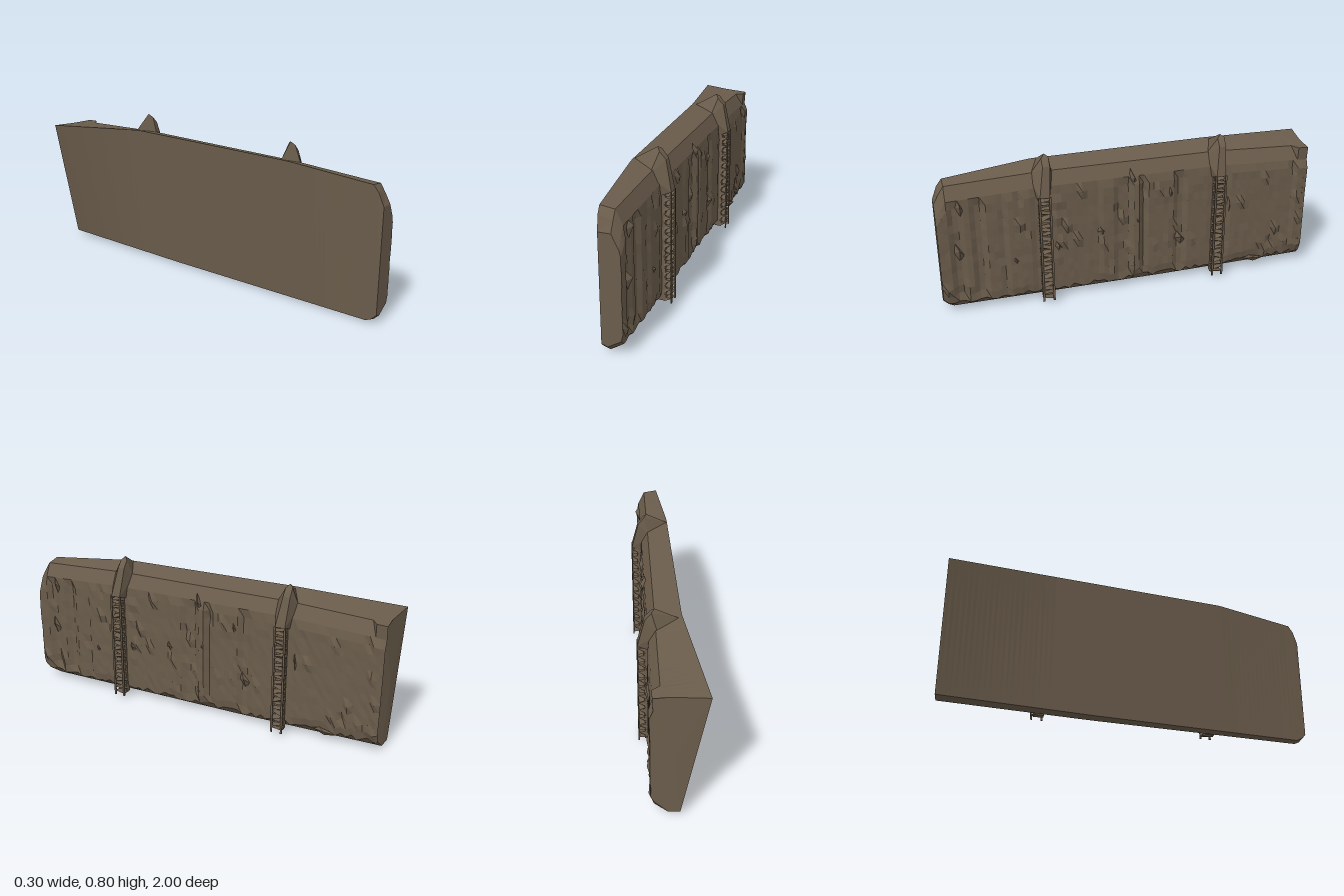
import * as THREE from 'three';
import { ConvexGeometry } from 'three/addons/geometries/ConvexGeometry.js';

const stone = new THREE.MeshStandardMaterial({ color: 0x6a5c4b, flatShading: true, side: THREE.DoubleSide });
stone.name = 'weathered brown';

function seeded(seed) {
  return () => (seed = (seed * 16807) % 2147483647) / 2147483647;
}

// Piecewise linear lookup in [[z, value], ...]
function along(keys, z) {
  for (let i = 1; i < keys.length; i++) {
    const [z0, v0] = keys[i - 1], [z1, v1] = keys[i];
    if (z <= z1) return v0 + (v1 - v0) * (z - z0) / (z1 - z0);
  }
  return keys[keys.length - 1][1];
}

// Outline of the slab along its length
const backTopX = [[-1, -0.15], [-0.44, -0.063], [0.5, -0.047], [0.97, -0.008], [1, 0]];
const backTopY = [[-1, 0.7], [-0.44, 0.743], [0.5, 0.74], [0.96, 0.7], [1, 0.6]];
const frontTopY = [[-1, 0.685], [-0.46, 0.71], [0.47, 0.71], [0.95, 0.69], [1, 0.6]];
const bottomY = [[-1, 0.02], [-0.2, 0.01], [0.96, 0.01], [1, 0.05]];
// Depth of the upright boards: [from z, face x]
const boards = [[-1, 0.112], [-0.9, 0.105], [-0.52, 0.097], [-0.42, 0.1], [-0.28, 0.088], [-0.22, 0.103],
  [-0.07, 0.09], [-0.03, 0.11], [0.02, 0.092], [0.1, 0.104], [0.18, 0.098], [0.53, 0.105],
  [0.66, 0.095], [0.7, 0.1], [0.78, 0.085], [0.83, 0.097], [0.88, 0.088], [0.92, 0.104]];

function makeSlab() {
  const rnd = seeded(77), rows = 13, cols = 74;
  const sections = [];
  for (let i = 0; i <= cols; i++) {
    const z = -1 + 2 * i / cols, t = (z + 1) / 2;
    const end = i === 0 || i === cols;
    const low = along(bottomY, z), high = along(frontTopY, z), tx = along(backTopX, z);
    let board = 0.1;
    for (const [from, x] of boards) if (z >= from) board = x;
    const loop = [[-0.025 + 0.025 * t, low + 0.005], [0.03, low - 0.005]];
    // Front face: rough boards below a smooth rim
    const foot = low + 0.035 + 0.025 * rnd() * (end ? 0 : 1), rim = high - 0.07;
    for (let r = 0; r <= rows; r++) {
      const edge = r === 0 || r === rows;
      let x = edge ? 0.096 : board + (rnd() - 0.5) * 0.004;
      if (!edge && !end && rnd() < 0.07) x += (rnd() - 0.4) * 0.03;
      loop.push([x, foot + (rim - foot) * r / rows]);
    }
    // Bevelled top
    loop.push([z < -0.9 ? 0.1 : 0.062, high]);
    loop.push([tx, along(backTopY, z)]);
    sections.push(loop.map(([x, y]) => [x, y, i === 0 ? z + 0.045 * Math.pow(Math.max(0, x + 0.15) / 0.26, 2) : z]));
  }
  const pos = [], n = sections[0].length;
  const tri = (a, b, c) => pos.push(...a, ...b, ...c);
  for (let i = 0; i < cols; i++) {
    for (let j = 0; j < n; j++) {
      const k = (j + 1) % n, s = sections[i], e = sections[i + 1];
      tri(s[j], s[k], e[k]);
      tri(s[j], e[k], e[j]);
    }
  }
  // End faces
  const first = sections[0], last = sections[cols];
  for (let j = 0; j < n; j++) {
    const k = (j + 1) % n;
    tri([0.0, 0.36, -0.985], first[k], first[j]);
    tri([0.05, 0.33, 1], last[j], last[k]);
  }
  const geo = new THREE.BufferGeometry();
  geo.setAttribute('position', new THREE.Float32BufferAttribute(pos, 3));
  geo.computeVertexNormals();
  return geo;
}

function hull(points) {
  return new ConvexGeometry(points.map(p => new THREE.Vector3(...p)));
}

// Upright rib: core, ragged lattice, corner rails and a pointed crown
function makeRib(z, lean, seed) {
  const rib = new THREE.Group(), rnd = seeded(seed);
  rib.name = 'rib';
  rib.position.z = z;
  const add = (name, geo, x = 0, y = 0, dz = 0) => {
    const m = new THREE.Mesh(geo, stone);
    m.name = name;
    m.position.set(x, y, dz);
    rib.add(m);
    return m;
  };
  add('ribCore', new THREE.BoxGeometry(0.035, 0.575, 0.05), 0.1, 0.31);
  for (const s of [-1, 1]) add('ribRail', new THREE.BoxGeometry(0.006, 0.585, 0.01), 0.147, 0.31, s * 0.027);
  for (let i = 0; i < 24; i++) {
    const y = 0.03 + i * 0.0238, s = i % 2 ? 1 : -1;
    const j = () => (rnd() - 0.5) * 0.02;
    add('ribShard', hull([
      [0.11, y - 0.008, -0.03 * s], [0.11, y + 0.014 + j() / 2, -0.02 * s],
      [0.148, y + j(), 0.03 * s], [0.148, y + 0.012 + j() / 2, -0.028 * s], [0.112, y + 0.005, 0.03 * s],
    ]));
  }
  add('ribCrown', hull([
    [0.148, 0.6, -0.025], [0.148, 0.6, 0.025], [0.125, 0.62, -0.032], [0.125, 0.62, 0.032],
    [0.112, 0.75, lean - 0.018], [0.112, 0.75, lean + 0.018], [0.08, 0.79, lean - 0.018],
    [0.08, 0.785, lean + 0.018], [0.065, 0.803, lean], [-0.048, 0.737, 0],
    [0.05, 0.685, -0.06], [0.05, 0.685, 0.06], [0.09, 0.58, -0.035], [0.09, 0.58, 0.035],
  ]));
  return rib;
}

export function createModel() {
  const model = new THREE.Group();
  model.name = 'wallSection';

  const slab = new THREE.Mesh(makeSlab(), stone);
  slab.name = 'wallSlab';
  model.add(slab);

  model.add(makeRib(0.47, -0.02, 11), makeRib(-0.46, -0.015, 29));

  // Splinter on the front end
  const splinter = new THREE.Mesh(hull([
    [0.03, 0.4, 0.999], [0.103, 0.39, 0.99], [0.103, 0.345, 0.99], [0.09, 0.38, 0.95], [0.06, 0.39, 1.0],
  ]), stone);
  splinter.name = 'endSplinter';
  model.add(splinter);

  // Loose wedges standing proud of the boards: [z, y, height, width]
  const wedges = [[0.9, 0.34, 0.1, 0.05], [0.88, 0.58, 0.1, 0.04], [0.62, 0.25, 0.07, 0.05], [0.17, 0.35, 0.08, 0.06],
    [0.0, 0.62, 0.12, 0.05], [-0.02, 0.38, 0.1, 0.05], [0.0, 0.12, 0.12, 0.06], [-0.2, 0.52, 0.12, 0.04],
    [-0.26, 0.25, 0.08, 0.06], [-0.53, 0.4, 0.16, 0.03], [0.4, 0.3, 0.08, 0.05], [-0.7, 0.06, 0.05, 0.12]];
  for (const [z, y, h, w] of wedges) {
    const wedge = new THREE.Mesh(hull([
      [0.09, y - h / 2, z], [0.09, y + h / 2, z + w / 3], [0.09, y, z + w / 2],
      [0.09, y - h / 5, z - w / 2], [0.117, y + h / 6, z],
    ]), stone);
    wedge.name = 'boardWedge';
    model.add(wedge);
  }
  return model;
}
